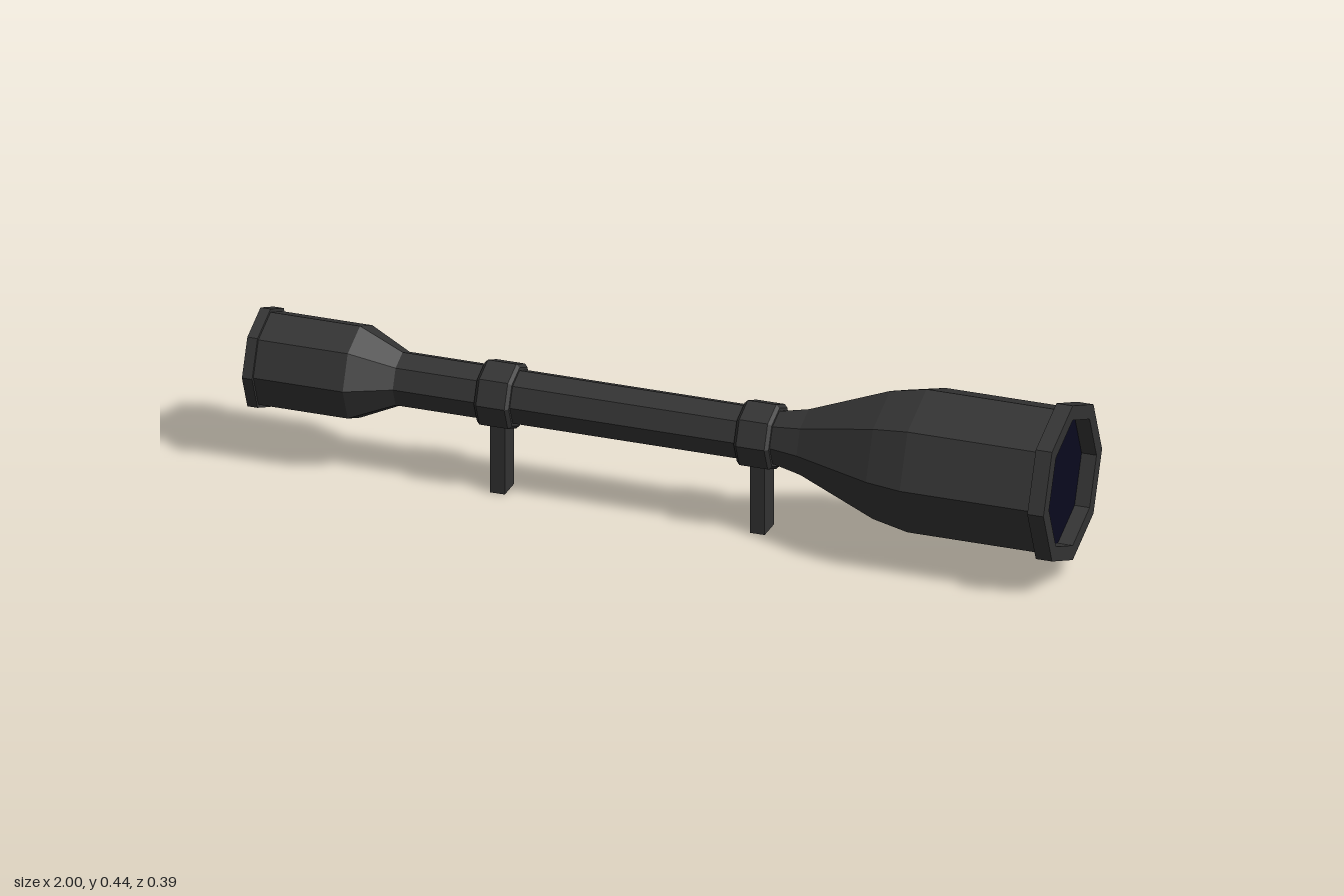
import * as THREE from 'three';

const AXIS_Y = 0.24;

export function createModel() {
  const group = new THREE.Group();
  const metal = new THREE.MeshStandardMaterial({ color: 0x333333, flatShading: true });
  metal.name = 'dark metal';
  const glass = new THREE.MeshStandardMaterial({ color: 0x0a0a1e, flatShading: true });
  glass.name = 'navy glass';

  const add = (name, geometry, material, x, y) => {
    const mesh = new THREE.Mesh(geometry, material);
    mesh.name = name;
    mesh.position.set(x, y, 0);
    group.add(mesh);
  };

  // Eight-sided turned part along x, from [x, radius] pairs
  const turned = (name, profile, x = 0) => {
    const points = profile.map(([px, r]) => new THREE.Vector2(r, px));
    add(name, new THREE.LatheGeometry(points, 8).rotateZ(-Math.PI / 2), metal, x, AXIS_Y);
  };

  // Tube with flared ends, and a recess behind each rim
  turned('scopeBody', [
    [-0.975, 0], [-0.975, 0.095], [-1, 0.095], [-1, 0.125], [-0.975, 0.125], [-0.975, 0.117],
    [-0.755, 0.117], [-0.65, 0.067], [0.28, 0.067], [0.35, 0.083], [0.55, 0.162], [0.64, 0.181],
    [0.96, 0.181], [0.96, 0.197], [1, 0.197], [1, 0.16], [0.96, 0.16], [0.96, 0],
  ]);

  // Lenses set inside the rims
  const lens = (name, radius, x, facing) =>
    add(name, new THREE.CircleGeometry(radius, 8).rotateY(facing * Math.PI / 2), glass, x, AXIS_Y);
  lens('frontLens', 0.16, 0.963, 1);
  lens('rearLens', 0.095, -0.978, -1);

  // Clamp rings with bevelled edges, each on a post
  for (const x of [-0.405, 0.235]) {
    turned('mountRing', [
      [-0.043, 0.06], [-0.043, 0.074], [-0.035, 0.082], [0.035, 0.082], [0.043, 0.074], [0.043, 0.06],
    ], x);
    add('mountPost', new THREE.BoxGeometry(0.036, 0.18, 0.063), metal, x, 0.09);
  }
  return group;
}
